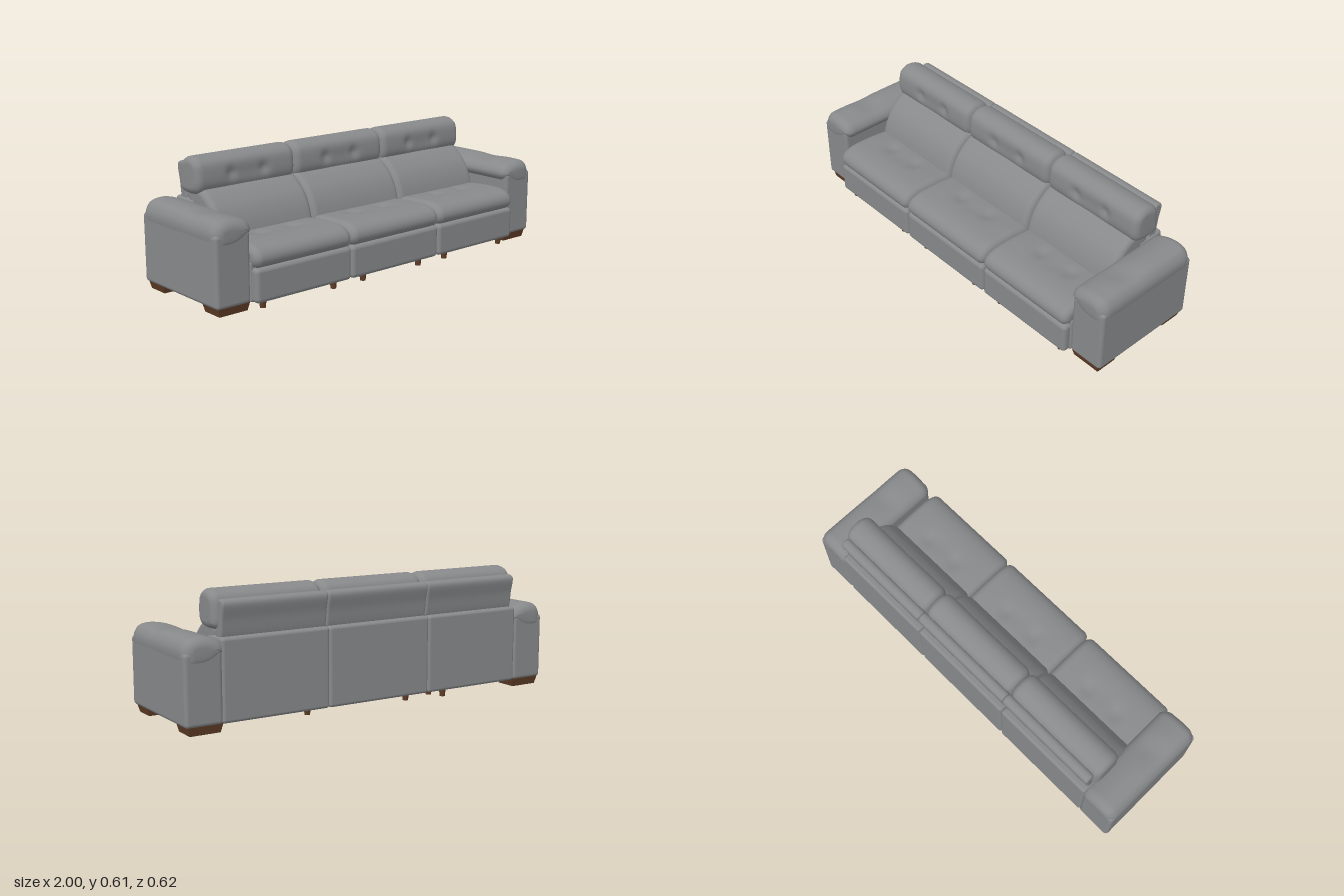
import * as THREE from 'three';
import { RoundedBoxGeometry } from 'three/addons/geometries/RoundedBoxGeometry.js';

// Soft cushion: a closed section [u, v] swept along z from a0 to a1 with rounded ends.
// dents: [a, u, v, radius, depth] press the surface inward.
function cushionGeometry(section, a0, a1, round, dents = []) {
  const N = 52, M = 44;
  let pts = section.map(([u, v]) => new THREE.Vector3(u, v, 0));
  if (THREE.ShapeUtils.area(pts) < 0) pts = pts.reverse();
  const curve = new THREE.CatmullRomCurve3(pts, true, 'centripetal');
  const ring = [];
  for (let i = 0; i < N; i++) {
    const p = curve.getPointAt(i / N), t = curve.getTangentAt(i / N);
    ring.push({ u: p.x, v: p.y, nu: t.y, nv: -t.x });
  }
  // Stations are packed closely at the rounded ends
  const stations = [], E = 7;
  for (let i = 0; i < E; i++) stations.push(a0 + round * (1 - Math.cos((i / E) * Math.PI / 2)));
  for (let i = 0; i <= M; i++) stations.push(a0 + round + (a1 - a0 - 2 * round) * (i / M));
  for (let i = E - 1; i >= 0; i--) stations.push(a1 - round * (1 - Math.cos((i / E) * Math.PI / 2)));

  const pos = [], idx = [];
  for (const a of stations) {
    const t = Math.max(0, 1 - Math.min(a - a0, a1 - a) / round);
    const endInset = round * (1 - Math.sqrt(Math.max(0, 1 - t * t)));
    for (const q of ring) {
      let inset = endInset;
      for (const [da, du, dv, r, depth] of dents) {
        const d2 = (a - da) ** 2 + (q.u - du) ** 2 + (q.v - dv) ** 2;
        inset += depth * Math.exp(-d2 / (r * r));
      }
      pos.push(q.u - q.nu * inset, q.v - q.nv * inset, a);
    }
  }
  const rows = stations.length;
  for (let k = 0; k < rows - 1; k++) {
    for (let i = 0; i < N; i++) {
      const j = (i + 1) % N, a = k * N + i, b = k * N + j;
      idx.push(a, b, b + N, a, b + N, a + N);
    }
  }
  // End caps
  const cu = ring.reduce((s, q) => s + q.u, 0) / N, cv = ring.reduce((s, q) => s + q.v, 0) / N;
  pos.push(cu, cv, a0, cu, cv, a1);
  for (let i = 0; i < N; i++) {
    const j = (i + 1) % N, last = (rows - 1) * N;
    idx.push(rows * N, j, i, rows * N + 1, last + i, last + j);
  }
  const g = new THREE.BufferGeometry();
  g.setAttribute('position', new THREE.Float32BufferAttribute(pos, 3));
  g.setIndex(idx);
  g.computeVertexNormals();
  return g;
}

// Cushion running along x, with its section and dents given in (z, y)
function acrossX(section, x0, x1, round, dents = []) {
  return cushionGeometry(section.map(([z, y]) => [-z, y]), x0, x1, round,
    dents.map(([x, z, y, r, d]) => [x, -z, y, r, d])).rotateY(Math.PI / 2);
}

function roundedBox(x0, x1, y0, y1, z0, z1, r) {
  return new RoundedBoxGeometry(x1 - x0, y1 - y0, z1 - z0, 4, r)
    .translate((x0 + x1) / 2, (y0 + y1) / 2, (z0 + z1) / 2);
}

export function createModel() {
  const sofa = new THREE.Group();
  sofa.name = 'sofa';
  const leather = new THREE.MeshStandardMaterial({ color: 0x87898b });
  leather.name = 'grey leather';
  const wood = new THREE.MeshStandardMaterial({ color: 0x5f3d27 });
  wood.name = 'brown wood';
  const add = (name, geometry, material = leather) => {
    const mesh = new THREE.Mesh(geometry, material);
    mesh.name = name;
    sofa.add(mesh);
    return mesh;
  };

  const seat = [[0.265, 0.19], [0.3, 0.205], [0.312, 0.235], [0.297, 0.268], [0.25, 0.29],
    [0.13, 0.294], [0, 0.282], [-0.1, 0.27], [-0.12, 0.225], [-0.05, 0.195], [0.1, 0.19]];
  const back = [[0.03, 0.25], [0.024, 0.31], [-0.01, 0.385], [-0.05, 0.43], [-0.1, 0.465],
    [-0.17, 0.48], [-0.22, 0.45], [-0.2, 0.35], [-0.15, 0.24], [-0.05, 0.21]];
  const head = [[-0.101, 0.48], [-0.098, 0.53], [-0.11, 0.585], [-0.15, 0.612], [-0.2, 0.61],
    [-0.24, 0.585], [-0.255, 0.52], [-0.25, 0.455], [-0.18, 0.44], [-0.12, 0.452]];
  const board = [[-0.225, 0.4], [-0.235, 0.5], [-0.246, 0.565], [-0.26, 0.577], [-0.285, 0.574],
    [-0.297, 0.56], [-0.285, 0.49], [-0.268, 0.4], [-0.247, 0.385]];

  // Three seat sections between the arms
  for (const i of [-1, 0, 1]) {
    const span = (outer) => [i < 0 ? -outer : i === 0 ? -0.279 : 0.279,
      i < 0 ? -0.279 : i === 0 ? 0.279 : outer];
    const [x0, x1] = span(0.82), c = i * 0.555;
    add('seatCushion', acrossX(seat, x0, x1, 0.035, [
      [c - 0.09, 0.1, 0.293, 0.04, 0.013], [c + 0.09, 0.1, 0.293, 0.04, 0.013], [c, 0.12, 0.293, 0.05, 0.006]]));
    add('backCushion', acrossX(back, ...span(0.815), 0.03));
    add('headrestCushion', acrossX(head, ...span(0.836), 0.035, [
      [c - 0.09, -0.099, 0.525, 0.028, 0.014], [c + 0.09, -0.099, 0.525, 0.028, 0.014],
      [c - 0.03, -0.099, 0.515, 0.04, 0.006], [c + 0.03, -0.099, 0.515, 0.04, 0.006]]));
    add('headrestBoard', acrossX(board, ...span(0.812), 0.012));
    add('frontPanel', roundedBox(x0 + 0.002, x1 - 0.002, 0.04, 0.196, 0.2, 0.306, 0.02));
    add('backPanel', roundedBox(x0, x1, 0.04, 0.415, -0.306, -0.16, 0.015));
  }
  add('baseFrame', roundedBox(-0.825, 0.825, 0.042, 0.22, -0.29, 0.27, 0.01));

  // Arms with padded tops
  const pad = [[0.797, 0.36], [0.812, 0.395], [0.86, 0.419], [0.92, 0.428], [0.97, 0.415],
    [0.995, 0.38], [0.998, 0.34], [0.985, 0.3], [0.9, 0.29], [0.83, 0.32]];
  for (const s of [-1, 1]) {
    const arm = add('armBody', roundedBox(0.817, 0.997, 0.04, 0.365, -0.306, 0.265, 0.018));
    if (s < 0) arm.geometry.translate(-1.814, 0, 0);
    add('armPad', cushionGeometry(pad.map(([x, y]) => [s * x, y]), -0.309, 0.268, 0.048, [
      [0.055, s * 0.9, 0.425, 0.07, 0.012], [0.23, s * 0.9, 0.425, 0.07, 0.006]]));

    // Tapered corner feet
    for (const z of [0.192, -0.238]) {
      const foot = new THREE.CylinderGeometry(0.5, 0.44, 0.04, 4, 1)
        .rotateY(Math.PI / 4).scale(Math.SQRT2 * 0.165, 1, Math.SQRT2 * 0.122).toNonIndexed();
      foot.computeVertexNormals();
      add('cornerFoot', foot.translate(s * 0.9, 0.024, z), wood);
    }
  }

  // Small support pegs
  const pegs = [[-0.76, 0.265], [-0.36, 0.265], [-0.18, 0.265], [0.18, 0.265], [0.36, 0.265], [0.76, 0.265],
    [0.36, -0.237], [-0.36, 0.155], [-0.185, -0.248], [-0.352, -0.21], [-0.388, -0.275]];
  for (const [x, z] of pegs) {
    add('supportPeg', new THREE.CylinderGeometry(0.017, 0.013, 0.042, 16).translate(x, 0.028, z), wood);
  }
  return sofa;
}
